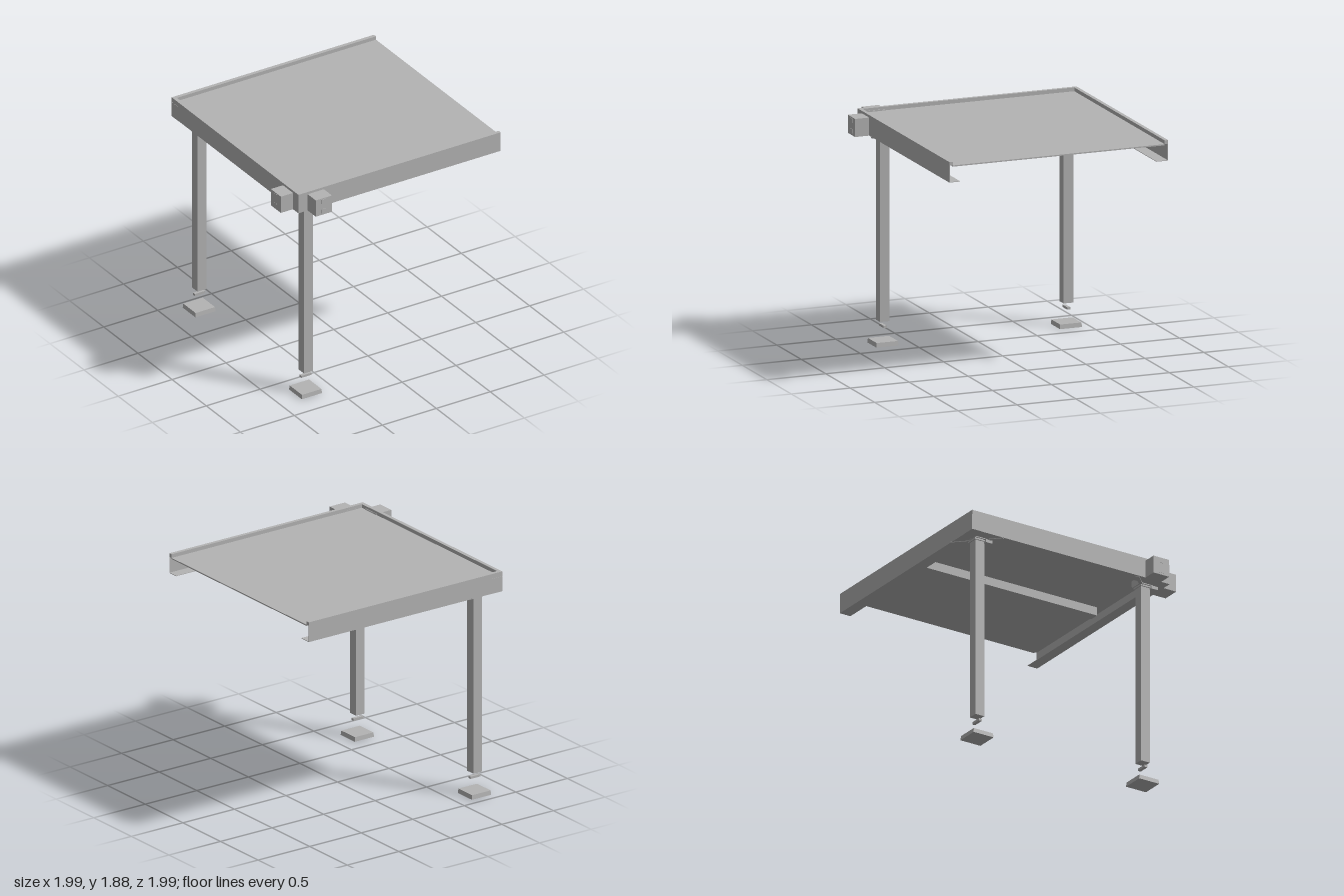
import * as THREE from 'three';

export function createModel() {
  const root = new THREE.Group();
  root.name = 'canopy';
  const grey = new THREE.MeshStandardMaterial({ color: 0xb3b3b3 });
  grey.name = 'aluminium grey';

  // Box given by its extents on each axis
  const block = (name, [x0, x1], [y0, y1], [z0, z1], parent = root) => {
    const mesh = new THREE.Mesh(new THREE.BoxGeometry(x1 - x0, y1 - y0, z1 - z0), grey);
    mesh.position.set((x0 + x1) / 2, (y0 + y1) / 2, (z0 + z1) / 2);
    mesh.name = name;
    parent.add(mesh);
    return mesh;
  };

  const L = -0.877, R = 1, F = 0.866, B = -0.99;   // frame outline
  const LOW = 1.714, TOP = 1.88, T = 0.004;        // frame heights, sheet thickness

  // Roof panel and the purlin below it
  block('roofPanel', [L + 0.03, R], [1.84, 1.85], [B + 0.03, F - 0.03]);
  block('purlin', [0.02, 0.1], [1.77, 1.84], [-0.893, 0.78]);

  // Edge channels on three sides: thin web, bottom flange, top rim
  const channel = (name, xs, zs) => {
    const g = new THREE.Group();
    g.name = name;
    block('web', xs.web, [LOW, TOP], zs.web, g);
    block('flange', xs.flange, [LOW, LOW + T], zs.flange, g);
    block('rim', xs.rim, [1.85, TOP], zs.rim, g);
    root.add(g);
  };
  const all = (r) => ({ web: r, flange: r, rim: r });
  channel('frontChannel', all([L, R]),
    { web: [F - T, F], flange: [F - 0.09, F], rim: [F - 0.03, F] });
  channel('backChannel', all([L, R]),
    { web: [B, B + T], flange: [B, B + 0.1], rim: [B, B + 0.03] });
  channel('sideChannel',
    { web: [L, L + T], flange: [L, L + 0.09], rim: [L, L + 0.03] }, all([B, F]));

  // Closed corner piece at the back
  block('cornerPiece', [L - 0.002, L + 0.105], [LOW, 1.84], [B - 0.002, -0.893]);

  // Beam stubs at the front corner, each with two square plates on its end
  block('frontStub', [-0.791, -0.641], [LOW, 1.86], [0.835, 0.985]);
  block('sideStub', [-0.99, -0.842], [LOW, 1.86], [0.64, 0.787]);
  for (const y of [1.748, 1.833]) {
    const h = [y - 0.018, y + 0.018];
    block('frontStubPlate', [-0.738, -0.7], h, [0.984, 0.988]);
    block('sideStubPlate', [-0.993, -0.989], h, [0.695, 0.732]);
  }

  // Posts with head plates, corner braces and separate feet
  for (const [z, side] of [[0.718, 1], [-0.839, -1]]) {
    const g = new THREE.Group();
    g.name = side > 0 ? 'frontPost' : 'backPost';
    g.position.set(-0.717, 0, z);
    root.add(g);
    const sq = (name, r, y) => block(name, [-r, r], y, [-r, r], g);
    sq('column', 0.041, [0.19, 1.7]);
    sq('headPlate', 0.05, [1.698, 1.712]);
    sq('capPlate', 0.06, [1.712, 1.724]);
    block('headBlock', [-0.06, 0.07], [1.724, 1.772], [-0.06, 0.06], g);
    block('ceilingPlate', [-0.1, 0.1], [1.834, 1.84], [-0.1, 0.1], g);
    block('headBracket', [-0.069, -0.035], [1.685, 1.712], [0.04, 0.1], g);
    block('baseTab', [-0.048, 0.048], [0.139, 0.158], [-0.013, 0.013], g);

    // Diagonal brace across the frame corner
    const brace = block('cornerBrace', [-0.21, 0.21], [1.709, 1.722], [-0.015, 0.015], g);
    brace.rotation.y = -side * Math.PI / 4;

    // Foot, slightly narrower at the top
    const foot = new THREE.Mesh(
      new THREE.CylinderGeometry(0.09 * Math.SQRT2, 0.094 * Math.SQRT2, 0.036, 4).toNonIndexed(), grey);
    foot.geometry.computeVertexNormals();
    foot.rotation.y = Math.PI / 4;
    foot.position.y = 0.018;
    foot.name = 'foot';
    g.add(foot);
  }
  return root;
}
